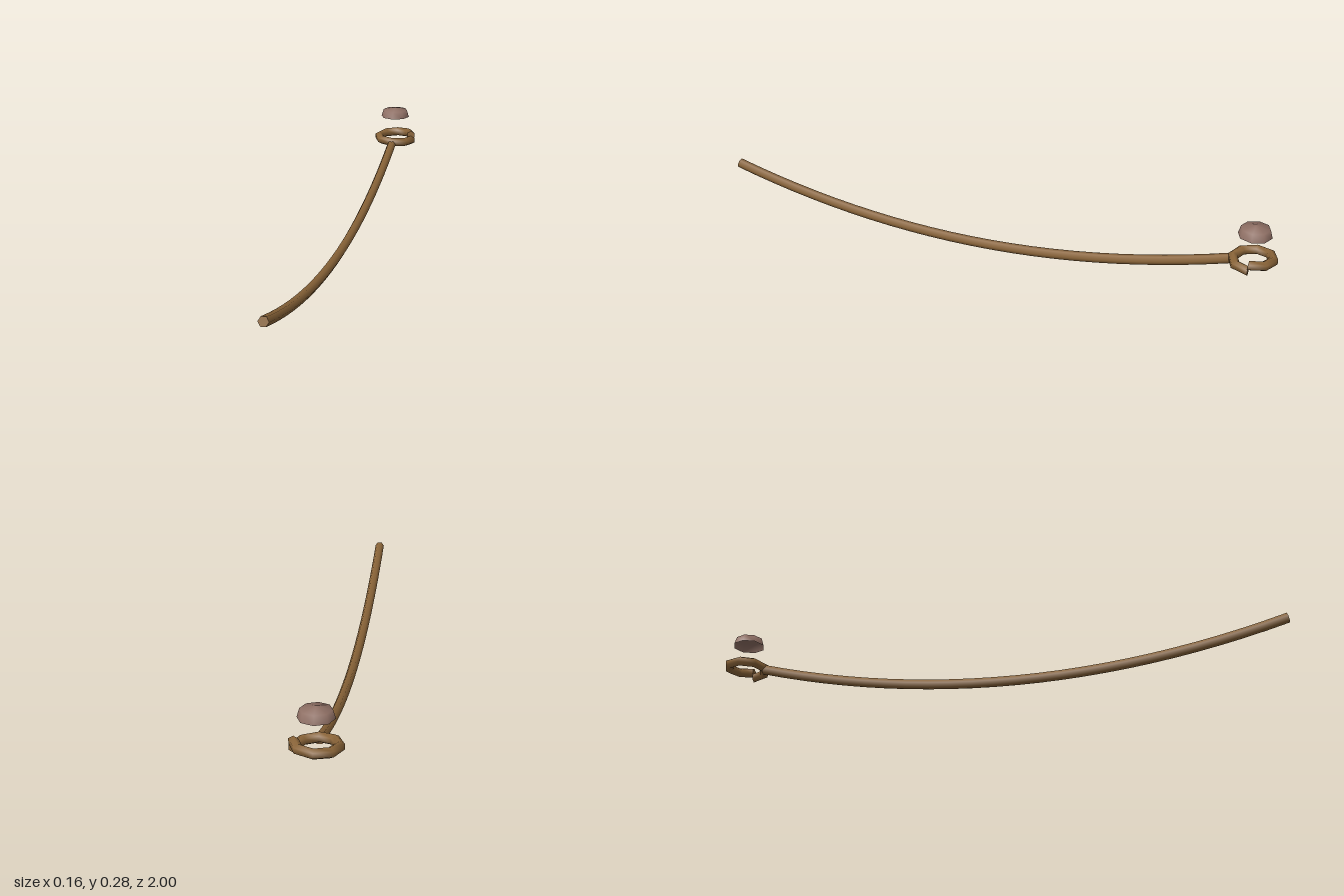
import * as THREE from 'three';

// Six-sided capped tube swept along point(t), t from 0 to 1; turn rotates the section.
function sweep(point, steps, radius, turn) {
  const sides = 6, pos = [], nor = [], idx = [];
  const up = new THREE.Vector3(0, 1, 0);
  const rings = [];
  for (let i = 0; i <= steps; i++) {
    const t = i / steps, p = point(t);
    const dir = point(t + 0.001).sub(point(t - 0.001)).normalize();
    const side = new THREE.Vector3().crossVectors(dir, up).normalize();
    const top = new THREE.Vector3().crossVectors(side, dir);
    const ring = [];
    for (let j = 0; j <= sides; j++) {
      const a = turn + (j / sides) * Math.PI * 2;
      const n = side.clone().multiplyScalar(Math.cos(a)).addScaledVector(top, Math.sin(a));
      const v = p.clone().addScaledVector(n, radius);
      ring.push(v);
      pos.push(...v.toArray());
      nor.push(...n.toArray());
      if (i < steps && j < sides) {
        const b = i * (sides + 1) + j, c = b + sides + 1;
        idx.push(b, b + 1, c, b + 1, c + 1, c);
      }
    }
    rings.push({ ring, dir });
  }
  // flat end caps
  [[rings[0], -1], [rings[steps], 1]].forEach(([{ ring, dir }, s]) => {
    const base = pos.length / 3;
    for (let j = 0; j < sides; j++) {
      pos.push(...ring[j].toArray());
      nor.push(...dir.clone().multiplyScalar(s).toArray());
      if (j > 1) idx.push(base, s < 0 ? base + j : base + j - 1, s < 0 ? base + j - 1 : base + j);
    }
  });
  const g = new THREE.BufferGeometry();
  g.setAttribute('position', new THREE.Float32BufferAttribute(pos, 3));
  g.setAttribute('normal', new THREE.Float32BufferAttribute(nor, 3));
  g.setIndex(idx);
  return g;
}

export function createModel() {
  const model = new THREE.Group();
  const ropeBrown = new THREE.MeshStandardMaterial({ name: 'ropeBrown', color: 0x8b6539, side: THREE.DoubleSide });
  const capBrown = new THREE.MeshStandardMaterial({ name: 'capBrown', color: 0x8d6e63, side: THREE.DoubleSide });
  const add = (name, geometry, material) => {
    const mesh = new THREE.Mesh(geometry, material);
    mesh.name = name;
    model.add(mesh);
    return mesh;
  };
  const loopZ = -0.919;

  // sagging rope
  add('rope', sweep(t => {
    const u = 1 - 2 * t;
    return new THREE.Vector3(0, 0.0147 + 0.134 * u * u, 0.071 + 0.924 * u);
  }, 24, 0.017, 0), ropeBrown);

  // one rising turn of rope, its two ends meeting on the left side
  add('loop', sweep(t => {
    const a = t * Math.PI * 2;
    return new THREE.Vector3(0.066 * Math.cos(a), 0.15 + 0.02 * t, loopZ + 0.066 * Math.sin(a));
  }, 8, 0.017, Math.PI / 6), ropeBrown);

  // open eight-sided cap floating above the loop
  const profile = [[0.056, 0], [0.048, 0.027], [0, 0.037]].map(p => new THREE.Vector2(...p));
  add('cap', new THREE.LatheGeometry(profile, 8), capBrown).position.set(0, 0.246, loopZ);

  return model;
}
